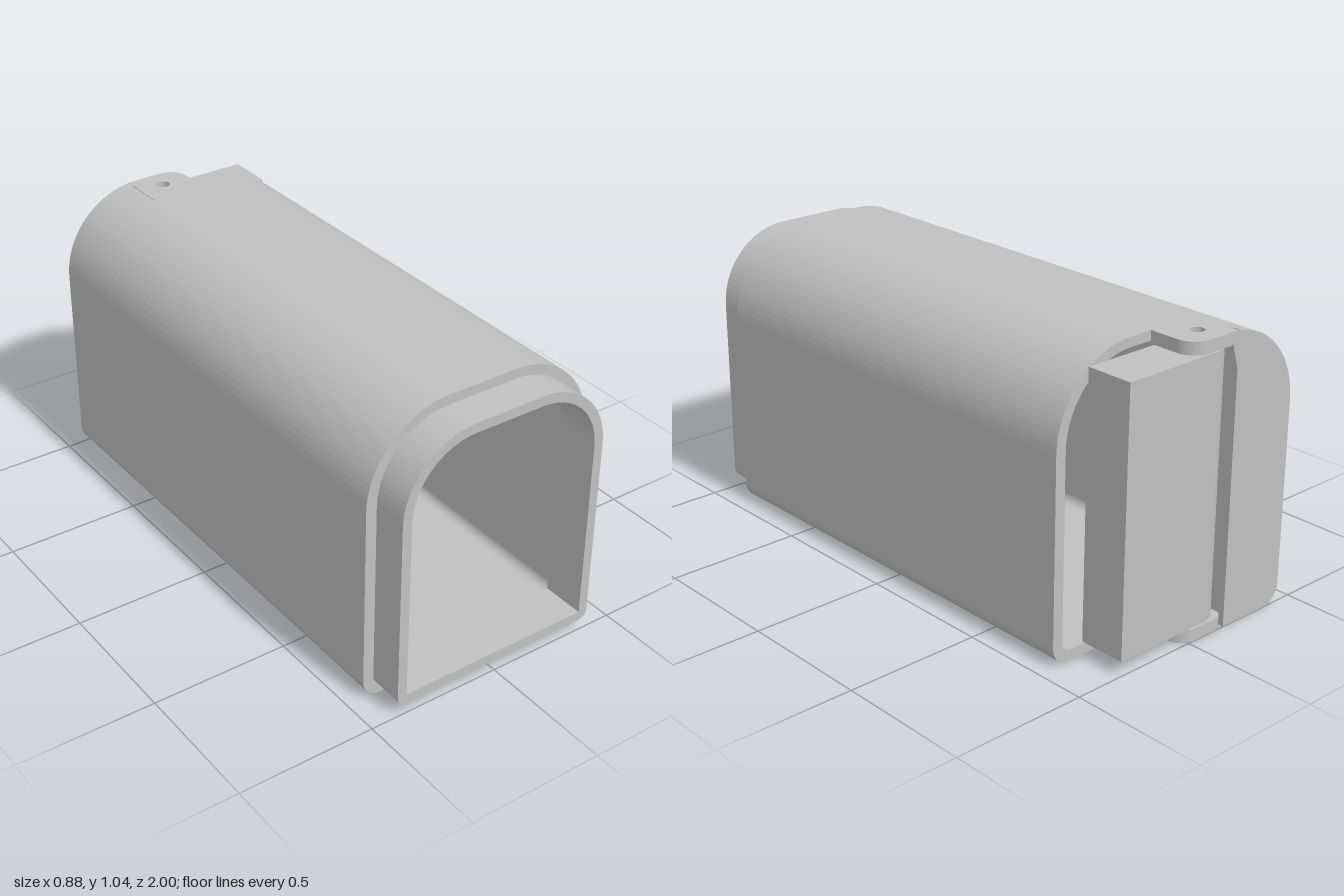
import * as THREE from 'three';

// Arched outline: large radius on the top corners, small radius on the bottom ones
function arch(target, w, y0, y1, rTop, rBot, xMax = w) {
  target.moveTo(-w + rBot, y0);
  if (xMax < w) {
    target.lineTo(xMax, y0);
    target.lineTo(xMax, y1);
  } else {
    target.lineTo(w - rBot, y0);
    if (rBot) target.absarc(w - rBot, y0 + rBot, rBot, -Math.PI / 2, 0);
    target.absarc(w - rTop, y1 - rTop, rTop, 0, Math.PI / 2);
  }
  target.absarc(-w + rTop, y1 - rTop, rTop, Math.PI / 2, Math.PI);
  if (rBot) target.absarc(-w + rBot, y0 + rBot, rBot, Math.PI, Math.PI * 1.5);
  else target.lineTo(-w, y0);
  return target;
}

const outer = [0.44, 0, 1.045, 0.31, 0.07];
const middle = [0.4, 0.04, 1.01, 0.27, 0.035];
const inner = [0.365, 0.075, 0.975, 0.235, 0];
const HINGE_X = -0.07, HINGE_Z = -0.912;

export function createModel() {
  const model = new THREE.Group();
  const grey = new THREE.MeshStandardMaterial({ color: 0xc0c0c0 });
  grey.name = 'light grey';

  function add(name, geometry) {
    const mesh = new THREE.Mesh(geometry, grey);
    mesh.name = name;
    model.add(mesh);
    return mesh;
  }
  // Extrude an x-y outline between two z positions
  const alongZ = (shape, z0, z1) => new THREE.ExtrudeGeometry(shape, {
    depth: z1 - z0, bevelEnabled: false, curveSegments: 10,
  }).translate(0, 0, z0);
  // Extrude an x-z outline between two heights
  const alongY = (shape, y0, y1) => new THREE.ExtrudeGeometry(shape, {
    depth: y1 - y0, bevelEnabled: false, curveSegments: 16,
  }).rotateX(Math.PI / 2).translate(0, y1, 0);
  const pinHole = () => new THREE.Path().absarc(HINGE_X, HINGE_Z, 0.025, 0, Math.PI * 2, true);

  // Main tunnel
  const shell = arch(new THREE.Shape(), ...outer);
  shell.holes.push(arch(new THREE.Path(), ...middle));
  add('tunnelShell', alongZ(shell, -0.82, 0.87));

  // Narrower front collar, reaching slightly into the tunnel
  const collar = arch(new THREE.Shape(), ...middle);
  collar.holes.push(arch(new THREE.Path(), ...inner));
  add('frontCollar', alongZ(collar, 0.84, 1));

  // Fixed part of the rear wall beside the door
  add('rearWall', alongZ(arch(new THREE.Shape(), ...outer, -0.167), -1, -0.82));

  // Hinge plates above and below the door
  const plate = new THREE.Shape();
  plate.moveTo(-0.167, -0.82);
  plate.lineTo(-0.167, -0.97);
  plate.quadraticCurveTo(-0.155, -1, -0.125, -1);
  plate.lineTo(-0.03, -1);
  plate.absarc(-0.03, -0.93, 0.07, -Math.PI / 2, 0);
  plate.lineTo(0.04, -0.82);
  plate.holes.push(pinHole());
  add('upperHingePlate', alongY(plate, 1, 1.045));
  add('lowerHingePlate', alongY(plate, 0, 0.045));

  // Thick door with a rounded hinge edge and a pin hole
  const r = 0.087;
  const door = new THREE.Shape();
  door.moveTo(HINGE_X, HINGE_Z - r);
  door.lineTo(0.315, HINGE_Z - r);
  door.lineTo(0.315, HINGE_Z + r);
  door.lineTo(HINGE_X, HINGE_Z + r);
  door.absarc(HINGE_X, HINGE_Z, r, Math.PI / 2, Math.PI * 1.5);
  door.holes.push(pinHole());
  add('door', alongY(door, 0.052, 0.995));

  // Two small tabs on the inner face of the door
  for (const x of [-0.083, 0.083]) {
    add('doorTab', new THREE.BoxGeometry(0.065, 0.1, 0.02)).position.set(x, 0.11, -0.82);
  }
  return model;
}
